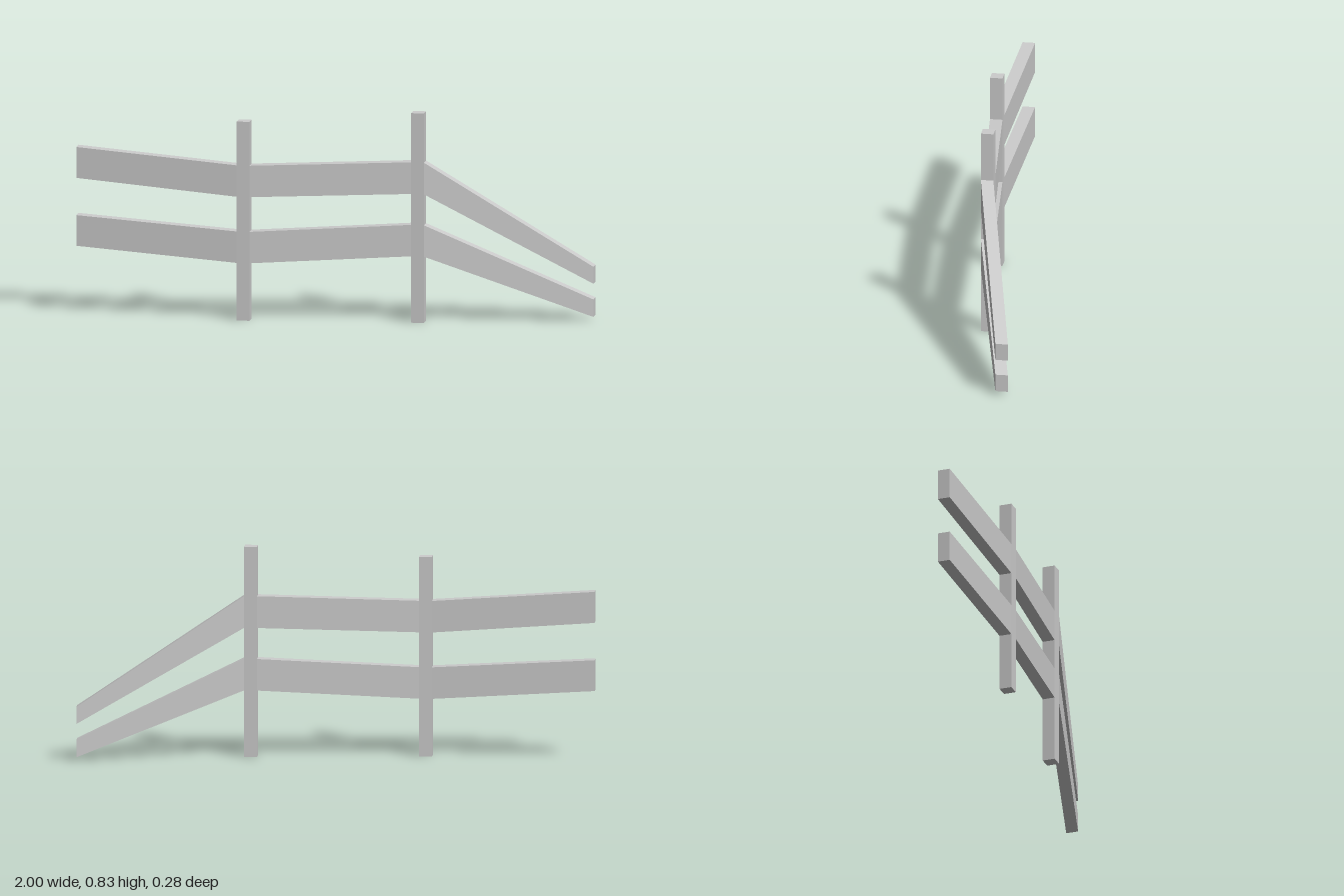
import * as THREE from 'three';

const material = new THREE.MeshStandardMaterial({ color: 0xcccccc, flatShading: true });

// Four corners of a rail end: back/front z, bottom/top y
const corners = ({ x, z, y }) => [
  [x, y[0], z[0]], [x, y[0], z[1]], [x, y[1], z[1]], [x, y[1], z[0]],
];

// Tapered beam between two rectangular ends, a at lower x than b
function beam(name, a, b) {
  const A = corners(a), B = corners(b), pos = [];
  const quad = (p, q, r, s) => pos.push(...p, ...q, ...r, ...p, ...r, ...s);
  for (let i = 0; i < 4; i++) {
    const j = (i + 1) % 4;
    quad(A[i], B[i], B[j], A[j]);
  }
  // Only free ends are capped; the others meet a post
  if (a.cap) quad(...A);
  if (b.cap) quad(B[3], B[2], B[1], B[0]);
  const geo = new THREE.BufferGeometry();
  geo.setAttribute('position', new THREE.Float32BufferAttribute(pos, 3));
  geo.computeVertexNormals();
  const mesh = new THREE.Mesh(geo, material);
  mesh.name = name;
  return mesh;
}

export function createModel() {
  const fence = new THREE.Group();
  fence.name = 'fence';

  // Upright posts
  const posts = [
    { name: 'rightPost', x: [-0.365, -0.315], z: [0.09, 0.139], h: 0.785 },
    { name: 'leftPost', x: [0.31, 0.36], z: [0.019, 0.068], h: 0.827 },
  ];
  for (const { name, x, z, h } of posts) {
    const post = new THREE.Mesh(new THREE.BoxGeometry(x[1] - x[0], h, z[1] - z[0]), material);
    post.position.set((x[0] + x[1]) / 2, h / 2, (z[0] + z[1]) / 2);
    post.name = name;
    fence.add(post);
  }

  // Rail heights [bottom, top] at: right end, right post, left post, left end
  const rails = {
    upperRail: [[0.538, 0.66], [0.488, 0.612], [0.508, 0.633], [0.147, 0.214]],
    lowerRail: [[0.27, 0.391], [0.227, 0.351], [0.262, 0.386], [0.016, 0.085]],
  };
  const [p, q] = posts;
  for (const [name, [r0, r1, r2, r3]] of Object.entries(rails)) {
    const rail = new THREE.Group();
    rail.name = name;
    rail.add(
      beam('rightSection', { x: -1, z: [0.07, 0.119], y: r0, cap: true }, { x: p.x[0], z: p.z, y: r1 }),
      beam('middleSection', { x: p.x[1], z: p.z, y: r1 }, { x: q.x[0], z: q.z, y: r2 }),
      beam('leftSection', { x: q.x[1], z: q.z, y: r2 }, { x: 1, z: [-0.139, -0.09], y: r3, cap: true }),
    );
    fence.add(rail);
  }
  return fence;
}
